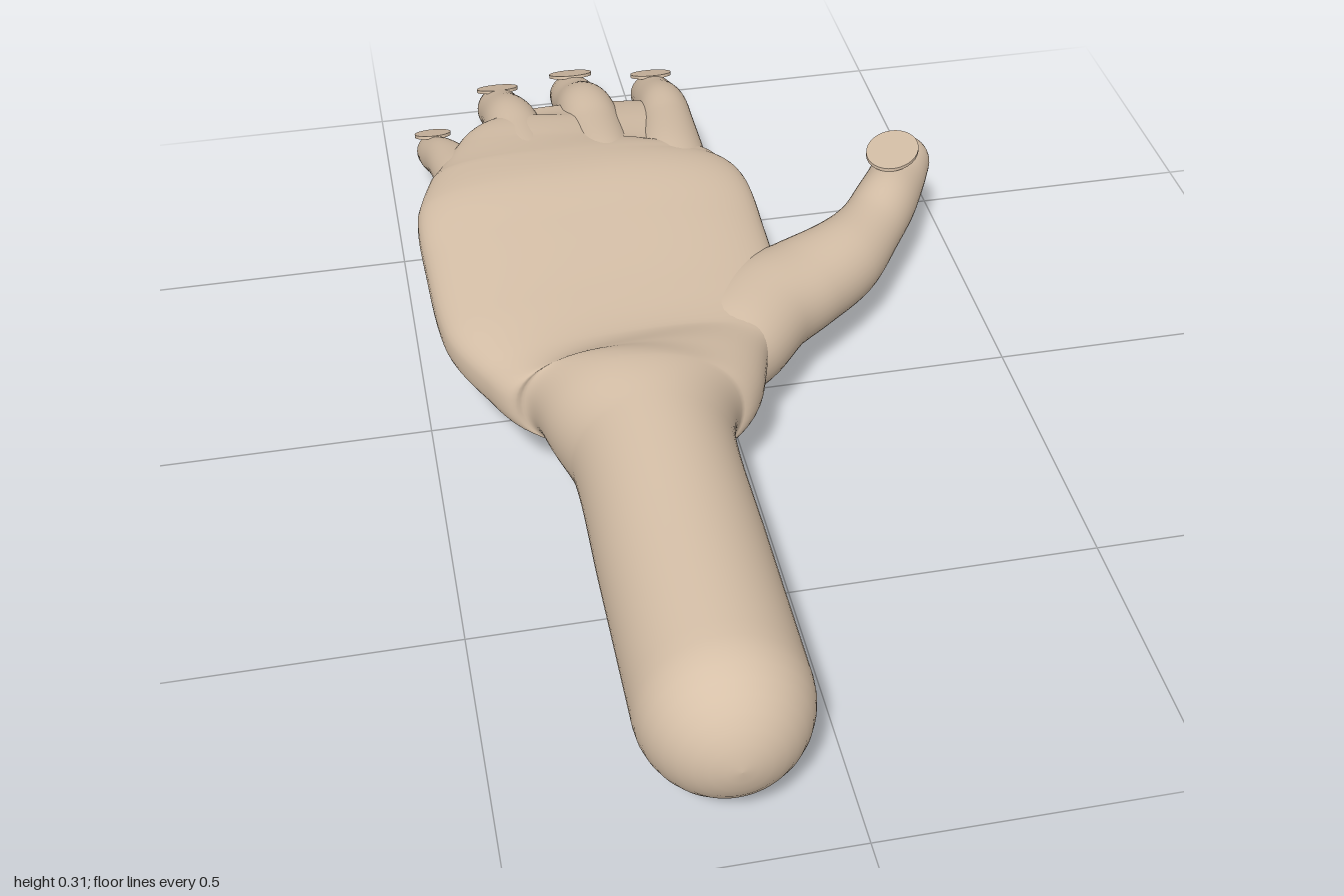
import * as THREE from 'three';

const skin = new THREE.MeshStandardMaterial({ color: 0xd6c0a8 });
skin.name = 'skin';

// Smooth limb through sections [x, y, z, halfWidth, halfHeight], rounded at both ends
function limb(name, sections, steps = 60, sides = 40) {
  const path = new THREE.CatmullRomCurve3(sections.map(s => new THREE.Vector3(s[0], s[1], s[2])), false, 'centripetal');
  const size = new THREE.CatmullRomCurve3(sections.map(s => new THREE.Vector3(s[3], s[4], 0)), false, 'catmullrom');
  const up = new THREE.Vector3(0, 1, 0);
  const capSteps = 9;
  const positions = [], indices = [];

  const ring = (t, scale, push) => {
    const c = path.getPoint(t), dir = path.getTangent(t), s = size.getPoint(t);
    const side = new THREE.Vector3().crossVectors(dir, up).normalize();
    const normal = new THREE.Vector3().crossVectors(side, dir);
    c.addScaledVector(dir, push * s.y);
    // Flat sections become slightly boxier than an ellipse
    const power = 2 / (2 + Math.min(0.7, Math.max(0, s.x / s.y - 1) * 0.3));
    for (let j = 0; j < sides; j++) {
      const a = (j / sides) * Math.PI * 2, ca = Math.cos(a), sa = Math.sin(a);
      const u = Math.sign(ca) * Math.abs(ca) ** power * s.x * scale;
      const v = Math.sign(sa) * Math.abs(sa) ** power * s.y * scale;
      const p = c.clone().addScaledVector(side, u).addScaledVector(normal, v);
      positions.push(p.x, p.y, p.z);
    }
  };

  for (let k = capSteps; k > 0; k--) {
    const a = (k / capSteps) * Math.PI / 2;
    ring(0, Math.cos(a), -Math.sin(a));
  }
  for (let i = 0; i <= steps; i++) ring(i / steps, 1, 0);
  for (let k = 1; k <= capSteps; k++) {
    const a = (k / capSteps) * Math.PI / 2;
    ring(1, Math.cos(a), Math.sin(a));
  }

  const rings = positions.length / 3 / sides;
  for (let i = 0; i < rings - 1; i++) {
    for (let j = 0; j < sides; j++) {
      const a = i * sides + j, b = i * sides + (j + 1) % sides;
      indices.push(a, a + sides, b, b, a + sides, b + sides);
    }
  }
  const geometry = new THREE.BufferGeometry();
  geometry.setAttribute('position', new THREE.Float32BufferAttribute(positions, 3));
  geometry.setIndex(indices);
  geometry.computeVertexNormals();
  const mesh = new THREE.Mesh(geometry, skin);
  mesh.name = name;
  return mesh;
}

// Thin oval plate
function nail(name, [x, y, z], halfWidth, halfLength, pitch, yaw = 0) {
  const geometry = new THREE.CylinderGeometry(1, 1, 0.006, 32);
  geometry.scale(halfWidth, 1, halfLength);
  const mesh = new THREE.Mesh(geometry, skin);
  mesh.name = name;
  mesh.position.set(x, y, z);
  mesh.rotation.set(pitch, yaw, 0, 'YXZ');
  return mesh;
}

export function createModel() {
  const hand = new THREE.Group();
  hand.name = 'hand';

  // Forearm, wrist, palm and the web between the fingers
  hand.add(limb('forearmAndPalm', [
    [-0.18, 0.188, 0.872, 0.127, 0.127],
    [-0.18, 0.188, 0.6, 0.127, 0.127],
    [-0.18, 0.19, 0.36, 0.128, 0.128],
    [-0.18, 0.192, 0.26, 0.157, 0.124],
    [-0.172, 0.19, 0.2, 0.198, 0.102],
    [-0.175, 0.188, 0.13, 0.236, 0.077],
    [-0.18, 0.187, 0, 0.284, 0.074],
    [-0.182, 0.195, -0.2, 0.295, 0.074],
    [-0.182, 0.202, -0.33, 0.293, 0.072],
    [-0.18, 0.2, -0.42, 0.264, 0.062],
    [-0.17, 0.195, -0.5, 0.222, 0.046],
    [-0.13, 0.18, -0.6, 0.178, 0.036],
    [-0.125, 0.16, -0.685, 0.165, 0.028],
  ], 120, 64));

  // Thumb with the ball of the palm
  hand.add(limb('thumb', [
    [-0.06, 0.178, 0.14, 0.08, 0.07],
    [0.0, 0.172, 0.07, 0.095, 0.082],
    [0.07, 0.168, -0.015, 0.095, 0.082],
    [0.145, 0.162, -0.07, 0.088, 0.077],
    [0.235, 0.158, -0.135, 0.075, 0.073],
    [0.305, 0.162, -0.21, 0.06, 0.06],
    [0.355, 0.168, -0.28, 0.056, 0.06],
    [0.395, 0.168, -0.35, 0.052, 0.051],
    [0.42, 0.17, -0.4, 0.05, 0.05],
  ]));
  hand.add(nail('thumbNail', [0.385, 0.23, -0.35], 0.046, 0.066, 0, -0.5));

  // Four fingers, each running from its knuckle to a drooping tip
  const fingers = {
    index: [
      [-0.005, 0.205, -0.33, 0.06, 0.055], [0.0, 0.198, -0.45, 0.06, 0.053],
      [0.015, 0.184, -0.58, 0.05, 0.045], [0.024, 0.162, -0.68, 0.047, 0.049],
      [0.03, 0.118, -0.79, 0.044, 0.043], [0.035, 0.084, -0.86, 0.042, 0.043],
      [0.037, 0.06, -0.908, 0.039, 0.039],
    ],
    middle: [
      [-0.125, 0.21, -0.33, 0.06, 0.055], [-0.123, 0.203, -0.45, 0.057, 0.053],
      [-0.122, 0.188, -0.58, 0.054, 0.046], [-0.122, 0.166, -0.7, 0.053, 0.05],
      [-0.121, 0.112, -0.82, 0.046, 0.044], [-0.12, 0.075, -0.9, 0.045, 0.045],
      [-0.12, 0.046, -0.96, 0.04, 0.04],
    ],
    ring: [
      [-0.25, 0.208, -0.33, 0.06, 0.055], [-0.256, 0.2, -0.45, 0.056, 0.052],
      [-0.262, 0.185, -0.58, 0.053, 0.046], [-0.267, 0.162, -0.69, 0.05, 0.049],
      [-0.271, 0.118, -0.8, 0.044, 0.043], [-0.272, 0.084, -0.87, 0.043, 0.043],
      [-0.272, 0.06, -0.917, 0.039, 0.039],
    ],
    little: [
      [-0.36, 0.203, -0.33, 0.06, 0.05], [-0.375, 0.195, -0.44, 0.052, 0.046],
      [-0.388, 0.172, -0.54, 0.046, 0.04], [-0.402, 0.143, -0.62, 0.037, 0.039],
      [-0.412, 0.111, -0.69, 0.034, 0.035], [-0.415, 0.085, -0.743, 0.032, 0.033],
    ],
  };
  for (const [name, sections] of Object.entries(fingers)) hand.add(limb(name + 'Finger', sections));

  hand.add(nail('indexNail', [0.035, 0.12, -0.885], 0.04, 0.052, -0.42));
  hand.add(nail('middleNail', [-0.12, 0.109, -0.935], 0.042, 0.052, -0.42));
  hand.add(nail('ringNail', [-0.272, 0.12, -0.89], 0.04, 0.05, -0.42));
  hand.add(nail('littleNail', [-0.415, 0.133, -0.728], 0.034, 0.042, -0.4));

  return hand;
}
